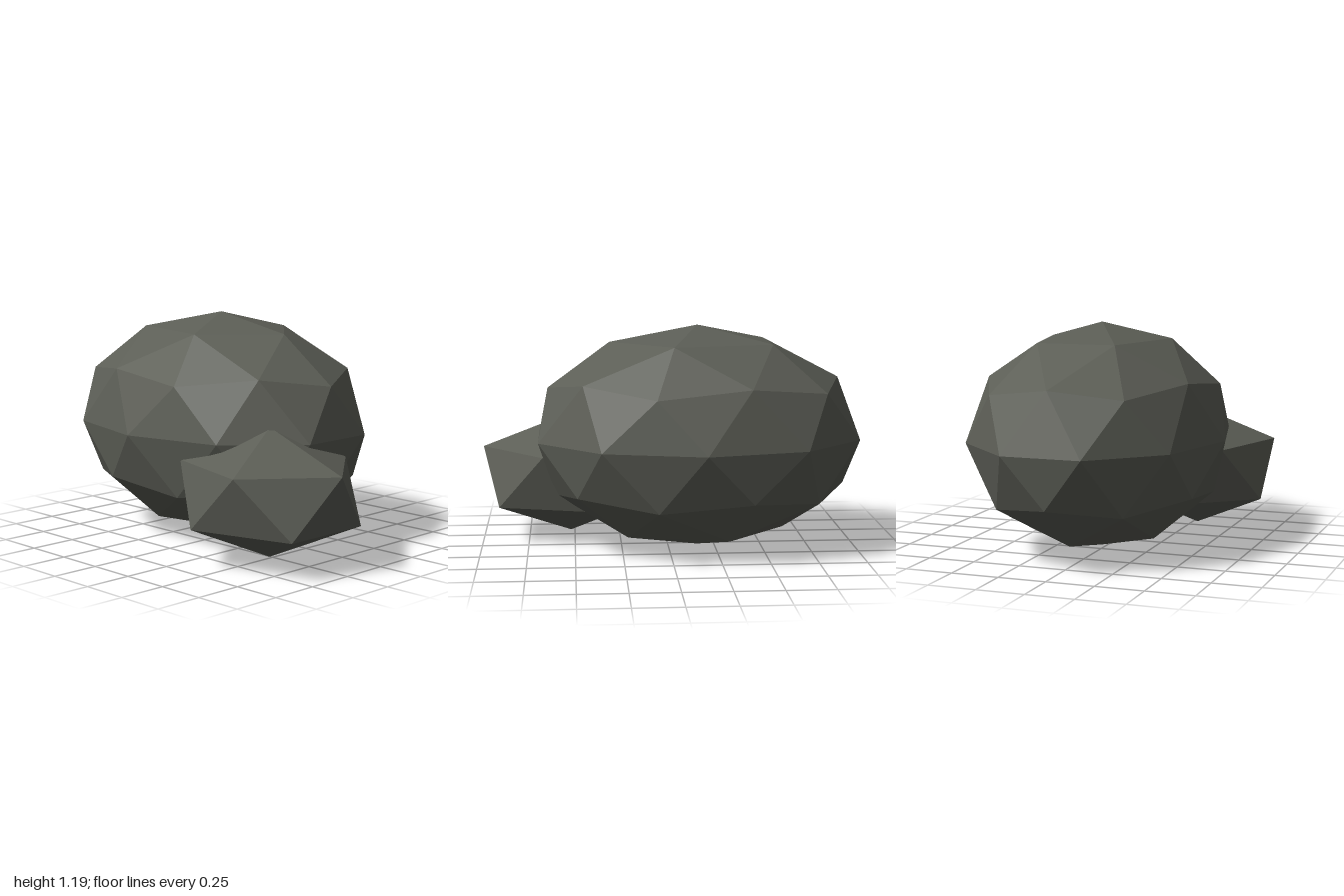
import * as THREE from 'three';

const stone = new THREE.MeshStandardMaterial({ color: 0x5c5e56 });
stone.name = 'darkStone';

// Faceted boulder: an icosphere with its pole on y, stretched along each axis
function makeBoulder(name, detail, radii, centre) {
  const geometry = new THREE.IcosahedronGeometry(1, detail);
  geometry.rotateZ(-Math.atan(2 / (1 + Math.sqrt(5))));
  geometry.scale(...radii);
  geometry.computeVertexNormals(); // unshared corners give flat facets
  const mesh = new THREE.Mesh(geometry, stone);
  mesh.name = name;
  mesh.position.set(...centre);
  return mesh;
}

export function createModel() {
  const group = new THREE.Group();
  group.name = 'rocks';
  group.add(
    makeBoulder('largeRock', 1, [0.888, 0.595, 0.673], [-0.156, 0.597, -0.027]),
    makeBoulder('smallRock', 0, [0.535, 0.332, 0.476], [0.521, 0.349, 0.295])
  );
  return group;
}
